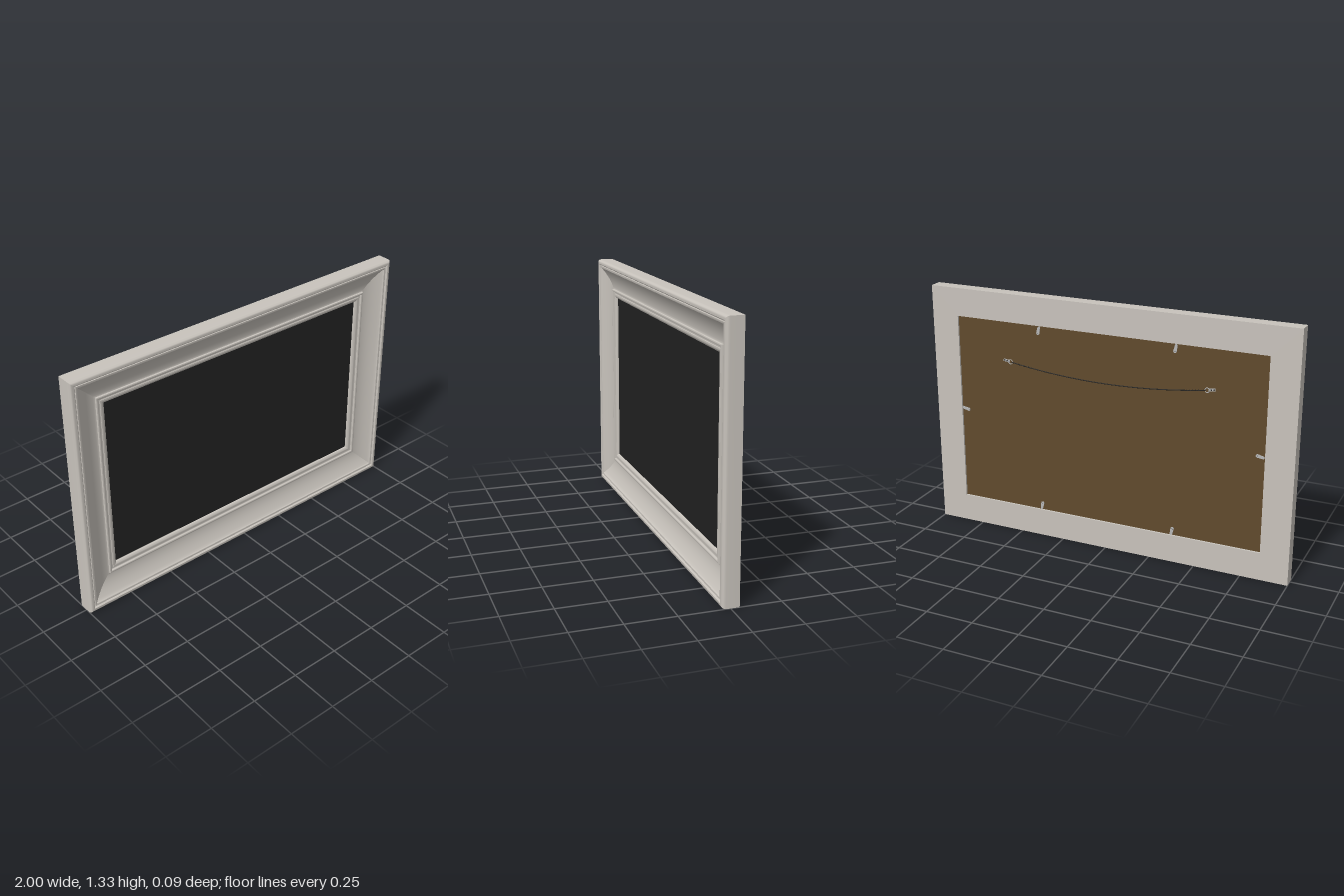
import * as THREE from 'three';
import { toCreasedNormals } from 'three/addons/utils/BufferGeometryUtils.js';

const W = 2, H = 1.33;
const PANEL_Z = -0.037; // rear face of the backing board

const mat = (name, color) => {
  const m = new THREE.MeshStandardMaterial({ color });
  m.name = name;
  return m;
};

function addMesh(parent, name, geometry, material, x = 0, y = 0, z = 0) {
  const mesh = new THREE.Mesh(geometry, material);
  mesh.name = name;
  mesh.position.set(x, y, z);
  parent.add(mesh);
  return mesh;
}

// Moulding section as [inset from outer edge, z], from outer back round to inner back
function mouldingProfile() {
  const p = [[0, -0.044], [0, 0.022]];
  for (let i = 1; i <= 5; i++) { // rounded outer shoulder
    const a = (i / 5) * Math.PI / 2;
    p.push([0.013 * (1 - Math.cos(a)), 0.022 + 0.02 * Math.sin(a)]);
  }
  p.push([0.022, 0.042], [0.026, 0.038], [0.027, 0.033], [0.031, 0.033], [0.032, 0.037], [0.042, 0.037], [0.045, 0.031]);
  for (let i = 1; i <= 10; i++) { // hollow sloping in to the sight edge
    const t = i / 10;
    p.push([0.045 + 0.108 * t, -0.008 + 0.039 * Math.pow(1 - t, 1.9)]);
  }
  p.push([0.153, -0.003]);
  for (let i = 1; i <= 5; i++) { // inner bead
    const a = (i / 5) * Math.PI;
    p.push([0.1595 - 0.0065 * Math.cos(a), -0.003 + 0.005 * Math.sin(a)]);
  }
  p.push([0.166, -0.009], [0.177, -0.009], [0.178, -0.006], [0.184, -0.005]);
  for (let i = 1; i <= 4; i++) { // rounded lip
    const a = (i / 4) * Math.PI / 2;
    p.push([0.184 + 0.016 * Math.sin(a), -0.017 + 0.012 * Math.cos(a)]);
  }
  p.push([0.2, -0.024], [0.15, -0.024], [0.15, -0.044], [0, -0.044]);
  return p;
}

// One mitred rail running between two neighbouring corners
function railGeometry(profile, [ax, ay], [bx, by]) {
  const pos = [];
  const at = (sx, sy, [d, z]) => [sx * (W / 2 - d), H / 2 + sy * (H / 2 - d), z];
  for (let i = 0; i < profile.length - 1; i++) {
    const a0 = at(ax, ay, profile[i]), b0 = at(bx, by, profile[i]);
    const a1 = at(ax, ay, profile[i + 1]), b1 = at(bx, by, profile[i + 1]);
    pos.push(...a0, ...b0, ...b1, ...a0, ...b1, ...a1);
  }
  const g = new THREE.BufferGeometry();
  g.setAttribute('position', new THREE.Float32BufferAttribute(pos, 3));
  return toCreasedNormals(g, 0.6);
}

// Small turn clip, its tip pointing along local +y
function makeClip(metal, dark) {
  const clip = new THREE.Group();
  clip.name = 'turnClip';
  const s = new THREE.Shape();
  s.absarc(0, 0.015, 0.007, 0, Math.PI, false);
  s.absarc(0, -0.015, 0.009, Math.PI, Math.PI * 2, false);
  const plate = new THREE.ExtrudeGeometry(s, { depth: 0.003, bevelEnabled: false, curveSegments: 8 });
  addMesh(clip, 'clipPlate', plate, metal, 0, 0, -0.0045);
  const screw = addMesh(clip, 'clipScrew', new THREE.CylinderGeometry(0.005, 0.005, 0.006, 12), metal, 0, -0.014, -0.003);
  screw.rotation.x = Math.PI / 2;
  addMesh(clip, 'screwSlot', new THREE.BoxGeometry(0.007, 0.0015, 0.001), dark, 0, -0.014, -0.006);
  return clip;
}

// Strap hanger with a ring, the ring on the local +x side
function makeHanger(metal, dark) {
  const hanger = new THREE.Group();
  hanger.name = 'strapHanger';
  addMesh(hanger, 'strap', new THREE.BoxGeometry(0.036, 0.014, 0.002), metal, -0.012, 0, -0.001);
  for (const x of [-0.023, -0.009]) {
    const screw = addMesh(hanger, 'strapScrew', new THREE.CylinderGeometry(0.004, 0.004, 0.002, 10), dark, x, 0, -0.0025);
    screw.rotation.x = Math.PI / 2;
  }
  addMesh(hanger, 'ring', new THREE.TorusGeometry(0.012, 0.002, 6, 18), metal, 0.012, 0, -0.0035);
  return hanger;
}

export function createModel() {
  const model = new THREE.Group();
  model.name = 'pictureFrame';
  const paint = mat('warm grey paint', 0xc8c3bc);
  const black = mat('black picture', 0x222222);
  const brown = mat('brown board', 0x604a2c);
  const metal = mat('light metal', 0xb8b8b8);
  const wireMat = mat('dark wire', 0x2a2825);

  // Four mitred rails
  const profile = mouldingProfile();
  const corners = [[-1, -1], [1, -1], [1, 1], [-1, 1]];
  ['bottomRail', 'leftRail', 'topRail', 'rightRail'].forEach((name, i) =>
    addMesh(model, name, railGeometry(profile, corners[i], corners[(i + 1) % 4]), paint));

  // Picture and backing board
  addMesh(model, 'picture', new THREE.BoxGeometry(W - 0.304, H - 0.304, 0.004), black, 0, H / 2, -0.022);
  addMesh(model, 'backingBoard', new THREE.BoxGeometry(W - 0.304, H - 0.304, 0.013), brown, 0, H / 2, PANEL_Z + 0.0065);

  // Turn clips around the board: [x, y, rotation]
  const clips = [[0.85, H / 2, -Math.PI / 2], [-0.85, H / 2, Math.PI / 2]];
  for (const x of [0.375, -0.375]) clips.push([x, H - 0.15, 0], [x, 0.15, Math.PI]);
  for (const [x, y, r] of clips) {
    const clip = makeClip(metal, wireMat);
    clip.position.set(x + Math.sin(r) * 0.024, y - Math.cos(r) * 0.024, PANEL_Z);
    clip.rotation.z = r + 0.2;
    model.add(clip);
  }

  // Hangers and the sagging wire between them
  const hx = 0.555, hy = 0.968, wz = PANEL_Z - 0.004;
  for (const s of [-1, 1]) {
    const hanger = makeHanger(metal, wireMat);
    hanger.position.set(s * hx, hy, PANEL_Z);
    hanger.rotation.z = s > 0 ? Math.PI + 0.16 : -0.16;
    model.add(hanger);
  }
  const pts = [];
  for (let i = 0; i <= 12; i++) {
    const t = i / 6 - 1;
    pts.push(new THREE.Vector3(t * (hx - 0.02), hy - 0.046 + 0.043 * t * t, wz));
  }
  addMesh(model, 'hangingWire', new THREE.TubeGeometry(new THREE.CatmullRomCurve3(pts), 60, 0.0027, 6), wireMat);
  // Wire wrapped back on itself near each hanger
  for (const s of [-1, 1]) {
    const twist = [];
    for (let i = 0; i <= 40; i++) {
      const t = 0.96 - 0.16 * (i / 40), a = i * 0.9;
      twist.push(new THREE.Vector3(s * t * (hx - 0.02),
        hy - 0.046 + 0.043 * t * t + 0.003 * Math.cos(a), wz + 0.002 * Math.sin(a)));
    }
    addMesh(model, 'wireTwist', new THREE.TubeGeometry(new THREE.CatmullRomCurve3(twist), 120, 0.0012, 5), wireMat);
  }
  return model;
}
